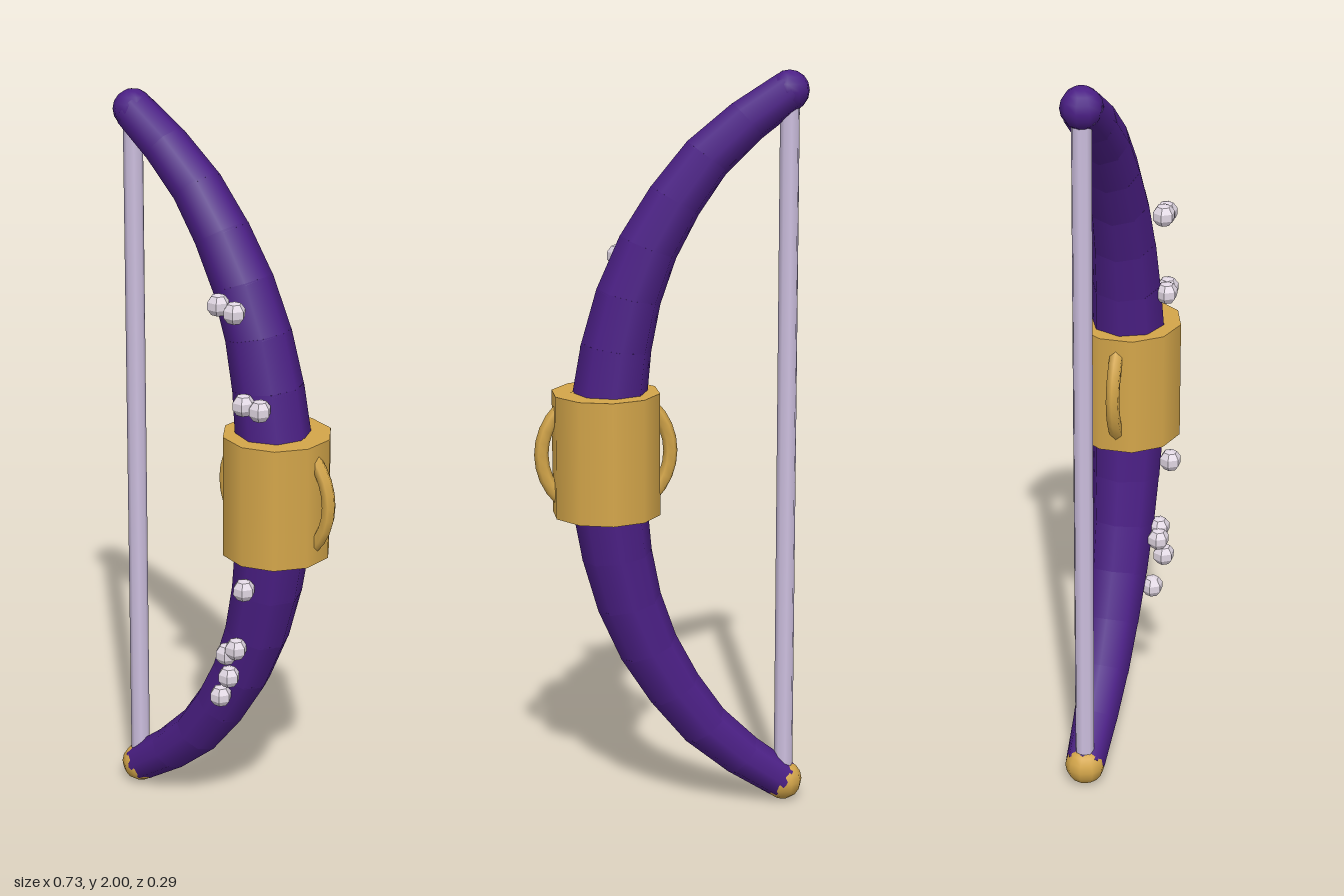
import * as THREE from 'three';

const mat = (name, color, flatShading = false) => {
  const m = new THREE.MeshStandardMaterial({ color, flatShading });
  m.name = name;
  return m;
};

export function createModel() {
  const bow = new THREE.Group();
  bow.name = 'bow';
  const purple = mat('purple', 0x4b1f85);
  const gold = mat('gold', 0xd4a64a);
  const lavender = mat('lavender', 0xcdbfdf);
  const pearl = mat('pearl', 0xe0d6e2, true);

  const add = (name, geometry, material, x, y, z = 0, parent = bow) => {
    const mesh = new THREE.Mesh(geometry, material);
    mesh.name = name;
    mesh.position.set(x, y, z);
    parent.add(mesh);
    return mesh;
  };

  // Limbs: overlapping tapered segments running from the grip to each tip
  const spine = [[0.17, 1.0], [0.158, 1.167], [0.13, 1.335], [0.08, 1.495],
    [-0.01, 1.66], [-0.13, 1.81], [-0.314, 1.946]];
  const curve = new THREE.CatmullRomCurve3(spine.map(([x, y]) => new THREE.Vector3(x, y, 0)));
  const up = new THREE.Vector3(0, 1, 0);
  const count = 8;
  const radius = t => 0.107 - 0.053 * t;
  for (const side of [1, -1]) {
    const limb = new THREE.Group();
    limb.name = side > 0 ? 'upperLimb' : 'lowerLimb';
    bow.add(limb);
    const at = t => {
      const p = curve.getPointAt(t);
      if (side < 0) p.y = 2 - p.y;
      return p;
    };
    for (let i = 0; i < count; i++) {
      const t0 = i / count, t1 = (i + 1) / count;
      const a = at(t0), b = at(t1);
      const dir = b.clone().sub(a);
      const overlap = i < count - 1 ? 1.1 : 1;
      const geo = new THREE.CylinderGeometry(radius(t1), radius(t0), dir.length() * overlap, 8);
      const mid = a.add(b).multiplyScalar(0.5);
      const seg = add('limbSegment', geo, purple, mid.x, mid.y, 0, limb);
      seg.quaternion.setFromUnitVectors(up, dir.normalize());
    }
  }

  // Rounded tips
  add('upperTip', new THREE.SphereGeometry(0.054, 10, 8), purple, -0.314, 1.946);
  add('lowerTip', new THREE.SphereGeometry(0.054, 10, 8), gold, -0.314, 0.054);

  // Bowstring
  add('string', new THREE.CylinderGeometry(0.026, 0.026, 1.88, 8), lavender, -0.316, 1.0);

  // Grip with a ring passing through it
  add('grip', new THREE.CylinderGeometry(0.145, 0.145, 0.33, 10), gold, 0.17, 1.0, -0.002);
  add('gripRing', new THREE.TorusGeometry(0.172, 0.019, 6, 32), gold, 0.17, 1.0, -0.002);

  // Small pearls clustered on the front of the limbs
  const pearls = [[0.07, 1.52, 0.116], [0.12, 1.507, 0.112], [0.147, 1.265, 0.108],
    [0.195, 1.258, 0.1], [0.16, 0.757, 0.12], [0.117, 0.568, 0.1],
    [0.088, 0.547, 0.105], [0.106, 0.49, 0.116], [0.06, 0.412, 0.095]];
  const pearlGeo = new THREE.SphereGeometry(0.031, 6, 5);
  for (const [x, y, z] of pearls) add('pearl', pearlGeo, pearl, x, y, z);

  return bow;
}
